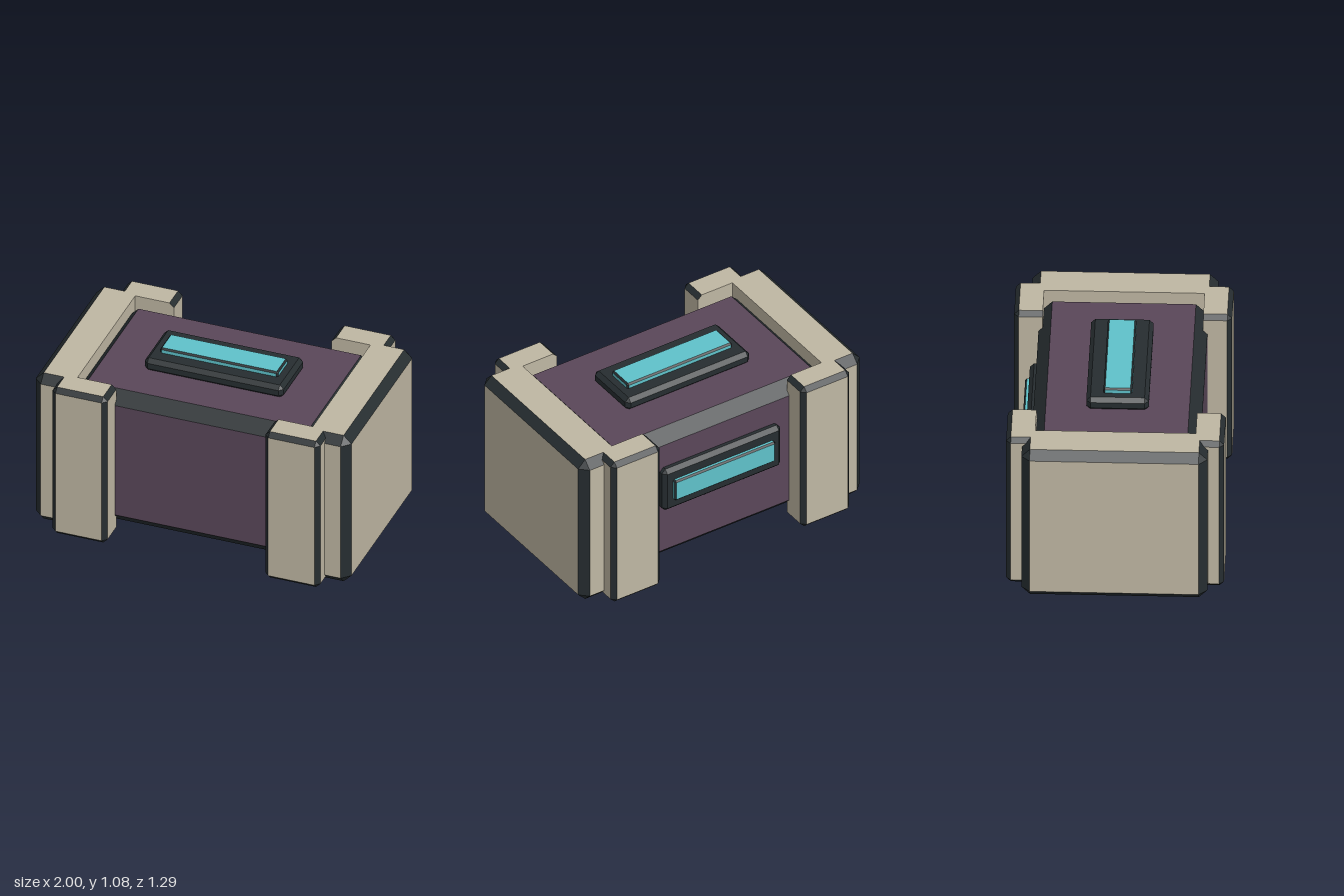
import * as THREE from 'three';
import { ConvexGeometry } from 'three/addons/geometries/ConvexGeometry.js';

const paint = (color) => new THREE.MeshStandardMaterial({ color, flatShading: true, roughness: 0.9 });

// Chamfered box: flat sides get the face material, chamfers the trim material.
// openSide = [axis, sign] leaves the edges of that side square.
function chamferBox(name, min, max, c, face, trim, openSide = [-1, 0]) {
  const points = [];
  for (let corner = 0; corner < 8; corner++) {
    const sign = [0, 1, 2].map((i) => ((corner >> i) & 1 ? 1 : -1));
    const isOpen = (i) => i === openSide[0] && sign[i] === openSide[1];
    for (let axis = 0; axis < 3; axis++) {
      if (isOpen(axis)) continue;
      const p = [0, 1, 2].map((i) => {
        const inset = i === axis || isOpen(i) ? 0 : c;
        return sign[i] > 0 ? max[i] - inset : min[i] + inset;
      });
      points.push(new THREE.Vector3(...p));
    }
  }
  const hull = new ConvexGeometry(points);
  const pos = hull.attributes.position, nor = hull.attributes.normal;
  const flat = [], bevel = [];
  for (let i = 0; i < pos.count; i += 3) {
    const n = Math.max(Math.abs(nor.getX(i)), Math.abs(nor.getY(i)), Math.abs(nor.getZ(i)));
    const list = n > 0.99 ? flat : bevel;
    for (let k = i; k < i + 3; k++) list.push(pos.getX(k), pos.getY(k), pos.getZ(k));
  }
  const group = new THREE.Group();
  group.name = name;
  [[flat, face, 'Faces'], [bevel, trim, 'Chamfers']].forEach(([list, material, suffix]) => {
    const g = new THREE.BufferGeometry();
    g.setAttribute('position', new THREE.Float32BufferAttribute(list, 3));
    g.computeVertexNormals();
    const mesh = new THREE.Mesh(g, material);
    mesh.name = name + suffix;
    group.add(mesh);
  });
  return group;
}

export function createModel() {
  const model = new THREE.Group();
  model.name = 'crate';
  const purple = paint(0x5a4759), beige = paint(0xbfb7a3);
  const dark = paint(0x262d30), teal = paint(0x5fc2ca);

  // Main body
  model.add(chamferBox('body', [-0.78, 0.055, -0.5], [0.78, 0.975, 0.5], 0.075, purple, dark));

  for (const s of [-1, 1]) {
    const side = s > 0 ? 'left' : 'right';
    const span = (a, b) => (s > 0 ? [a, b] : [-b, -a]);

    // End plates
    const [p0, p1] = span(0.745, 1);
    model.add(chamferBox(side + 'EndPlate', [p0, 0, -0.55], [p1, 1.027, 0.55], 0.05, beige, dark, [0, -s]));

    // Corner posts
    const [x0, x1] = span(0.5, 0.848);
    for (const f of [-1, 1]) {
      const [z0, z1] = f > 0 ? [0.475, 0.645] : [-0.645, -0.475];
      model.add(chamferBox(side + (f > 0 ? 'Front' : 'Back') + 'Post',
        [x0, 0, z0], [x1, 1.027, z1], 0.028, beige, dark, [2, -f]));
    }
  }

  // Lid plate with its light
  model.add(chamferBox('lidPlate', [-0.44, 0.965, -0.185], [0.44, 1.052, 0.185], 0.025, dark, dark));
  model.add(chamferBox('lidLight', [-0.373, 1.03, -0.085], [0.373, 1.084, 0.085], 0.01, teal, dark));

  // Back plate with its light
  model.add(chamferBox('backPlate', [-0.42, 0.44, -0.547], [0.42, 0.74, -0.46], 0.025, dark, dark));
  model.add(chamferBox('backLight', [-0.358, 0.518, -0.573], [0.358, 0.662, -0.52], 0.01, teal, dark));

  return model;
}
